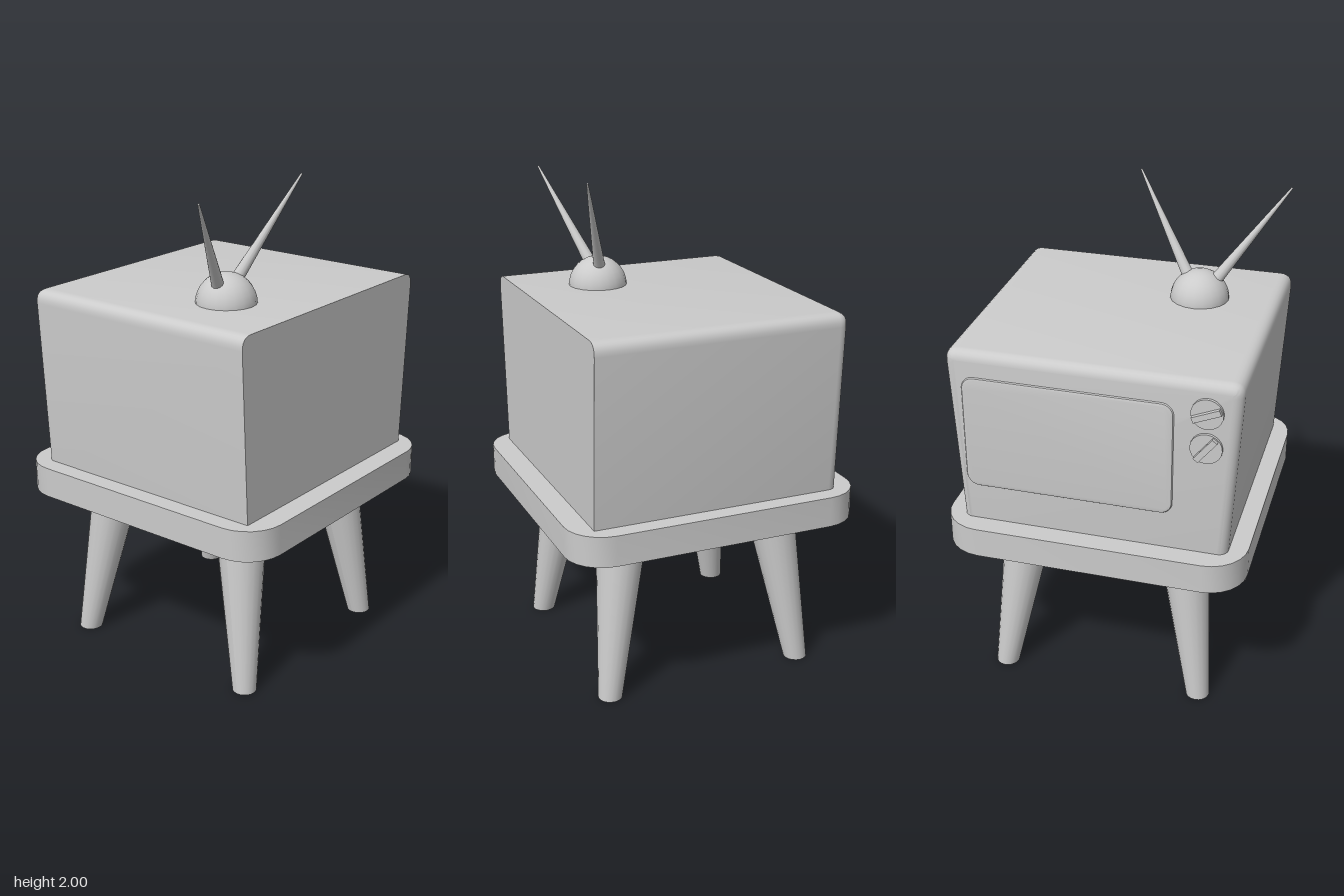
import * as THREE from 'three';
import { toCreasedNormals } from 'three/addons/utils/BufferGeometryUtils.js';

const grey = new THREE.MeshStandardMaterial({ color: 0xcccccc });
const greyOpen = new THREE.MeshStandardMaterial({ color: 0xcccccc, side: THREE.DoubleSide });

function part(parent, name, geometry, material = grey) {
  const mesh = new THREE.Mesh(geometry, material);
  mesh.name = name;
  parent.add(mesh);
  return mesh;
}

function roundedRect(x0, y0, x1, y1, r) {
  const s = new THREE.Shape();
  s.absarc(x1 - r, y0 + r, r, -Math.PI / 2, 0);
  s.absarc(x1 - r, y1 - r, r, 0, Math.PI / 2);
  s.absarc(x0 + r, y1 - r, r, Math.PI / 2, Math.PI);
  s.absarc(x0 + r, y0 + r, r, Math.PI, Math.PI * 1.5);
  return s;
}

// Tapered rod between two points
function rod(parent, name, from, to, r0, r1) {
  const dir = to.clone().sub(from);
  const mesh = part(parent, name, new THREE.CylinderGeometry(r1, r0, dir.length(), 12));
  mesh.position.copy(from).add(to).multiplyScalar(0.5);
  mesh.quaternion.setFromUnitVectors(new THREE.Vector3(0, 1, 0), dir.normalize());
}

export function createModel() {
  const model = new THREE.Group();
  model.name = 'televisionOnTable';

  // Table top with three-sided rounded corners
  const top = new THREE.ExtrudeGeometry(roundedRect(-0.612, -0.612, 0.612, 0.612, 0.157),
    { depth: 0.125, bevelEnabled: false, curveSegments: 3 });
  top.rotateX(-Math.PI / 2).translate(0, 0.67, 0);
  part(model, 'tableTop', toCreasedNormals(top, 0.6));

  // Splayed legs: tapered tubes sheared outward, level at both ends
  for (const sx of [-1, 1]) for (const sz of [-1, 1]) {
    const leg = new THREE.CylinderGeometry(0.103, 0.049, 0.67, 20, 1, true);
    leg.translate(0, 0.335, 0);
    const p = leg.attributes.position;
    for (let i = 0; i < p.count; i++) {
      const offset = 0.422 - 0.094 * p.getY(i) / 0.67;
      p.setXYZ(i, p.getX(i) + sx * offset, p.getY(i), p.getZ(i) + sz * offset);
    }
    leg.computeVertexNormals();
    part(model, 'leg', leg, greyOpen);
  }

  // Cabinet: section widens upward, screen end rounded, other end cut flat
  const section = new THREE.Shape();
  section.moveTo(-0.536, 0.76);
  section.lineTo(0.536, 0.76);
  section.lineTo(0.575, 1.48);
  section.quadraticCurveTo(0.577, 1.533, 0.525, 1.533);
  section.lineTo(-0.525, 1.533);
  section.quadraticCurveTo(-0.577, 1.533, -0.575, 1.48);
  section.closePath();
  const cabinet = new THREE.ExtrudeGeometry(section, {
    depth: 1.005, bevelSize: 0.04, bevelThickness: 0.04, bevelOffset: -0.04,
    bevelSegments: 5, curveSegments: 6,
  });
  cabinet.translate(0, 0, -0.52);
  const c = cabinet.attributes.position;
  for (let i = 0; i < c.count; i++) c.setZ(i, Math.max(c.getZ(i), -0.52));
  cabinet.rotateY(-Math.PI / 2);
  part(model, 'cabinet', toCreasedNormals(cabinet, 0.6));

  // Slightly raised screen on the -x end
  const screen = new THREE.ExtrudeGeometry(roundedRect(-0.51, 0.95, 0.32, 1.43, 0.05), {
    depth: 0.015, bevelSize: 0.012, bevelThickness: 0.007, bevelOffset: -0.012,
    bevelSegments: 2, curveSegments: 6,
  });
  screen.translate(0, 0, 0.51).rotateY(-Math.PI / 2);
  part(model, 'screen', toCreasedNormals(screen, 0.5));

  // Dials with a grip bar
  for (const [y, tilt] of [[1.41, 0.4], [1.265, 0.9]]) {
    const dial = new THREE.Group();
    dial.name = 'dial';
    dial.position.set(-0.525, y, 0.445);
    dial.rotation.x = -tilt;
    part(dial, 'dialDisc', new THREE.CylinderGeometry(0.062, 0.062, 0.024, 20).rotateZ(Math.PI / 2));
    part(dial, 'dialGrip', new THREE.BoxGeometry(0.02, 0.024, 0.114)).position.x = -0.019;
    model.add(dial);
  }

  // Aerial: half-round base and two rods
  const aerial = new THREE.Group();
  aerial.name = 'aerial';
  part(aerial, 'aerialBase', new THREE.SphereGeometry(0.12, 20, 8, 0, Math.PI * 2, 0, Math.PI / 2))
    .position.set(0.195, 1.531, 0.25);
  const v = (x, y, z) => new THREE.Vector3(x, y, z);
  rod(aerial, 'aerialRod', v(0.205, 1.615, 0.2), v(0.336, 2, -0.034), 0.025, 0.004);
  rod(aerial, 'aerialRod', v(0.205, 1.615, 0.315), v(0.331, 1.98, 0.58), 0.025, 0.004);
  model.add(aerial);

  return model;
}
